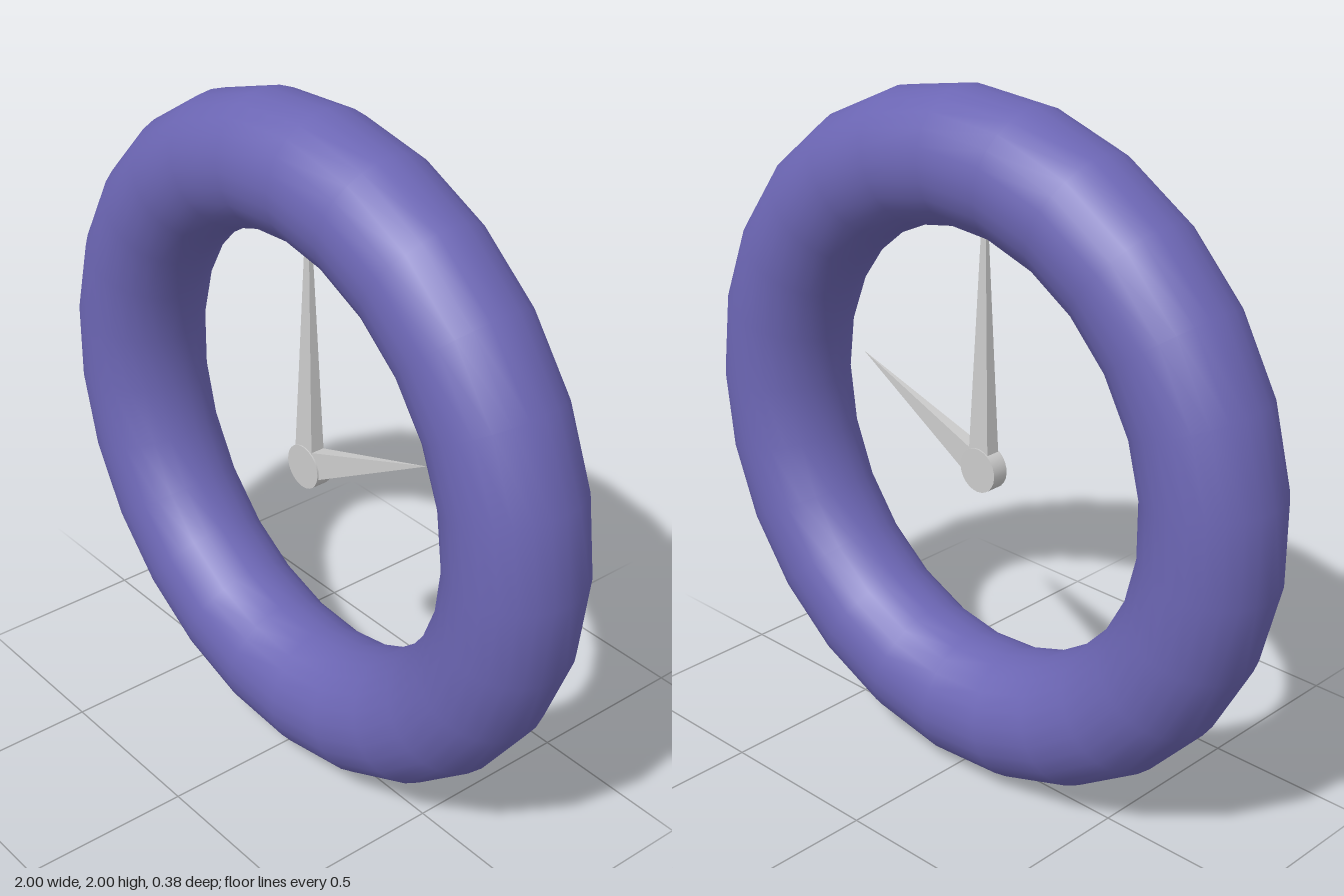
import * as THREE from 'three';

const HUB = new THREE.Vector2(-0.012, 0.928);

// Slim four-sided pyramid running from the hub to a point in the xy plane
function makeHand(name, tipX, tipY, width, depth, material) {
  const dx = tipX - HUB.x, dy = tipY - HUB.y;
  const length = Math.hypot(dx, dy);
  const geometry = new THREE.ConeGeometry(Math.SQRT1_2, length, 4);
  geometry.rotateY(Math.PI / 4);
  geometry.translate(0, length / 2, 0);
  geometry.scale(width, 1, depth);
  const hand = new THREE.Mesh(geometry, material);
  hand.name = name;
  hand.position.set(HUB.x, HUB.y, 0);
  hand.rotation.z = -Math.atan2(dx, dy);
  return hand;
}

export function createModel() {
  const model = new THREE.Group();
  model.name = 'clock';
  const blue = new THREE.MeshStandardMaterial({ color: 0x6c66b4 });
  const grey = new THREE.MeshStandardMaterial({ color: 0xcccccc });
  const greyFlat = new THREE.MeshStandardMaterial({ color: 0xcccccc, flatShading: true });

  // Round rim
  const rim = new THREE.Mesh(new THREE.TorusGeometry(0.813, 0.189, 25, 25), blue);
  rim.name = 'rim';
  rim.position.set(-0.004, 1, 0);
  model.add(rim);

  // Hub disc facing front
  const hub = new THREE.Mesh(new THREE.CylinderGeometry(0.065, 0.065, 0.05, 25), grey);
  hub.name = 'hub';
  hub.rotation.x = Math.PI / 2;
  hub.position.set(HUB.x, HUB.y, 0);
  model.add(hub);

  // Hands: the long one reaches into the rim
  model.add(makeHand('minuteHand', -0.018, 1.83, 0.075, 0.046, greyFlat));
  model.add(makeHand('hourHand', 0.467, 1.148, 0.088, 0.046, greyFlat));

  return model;
}
